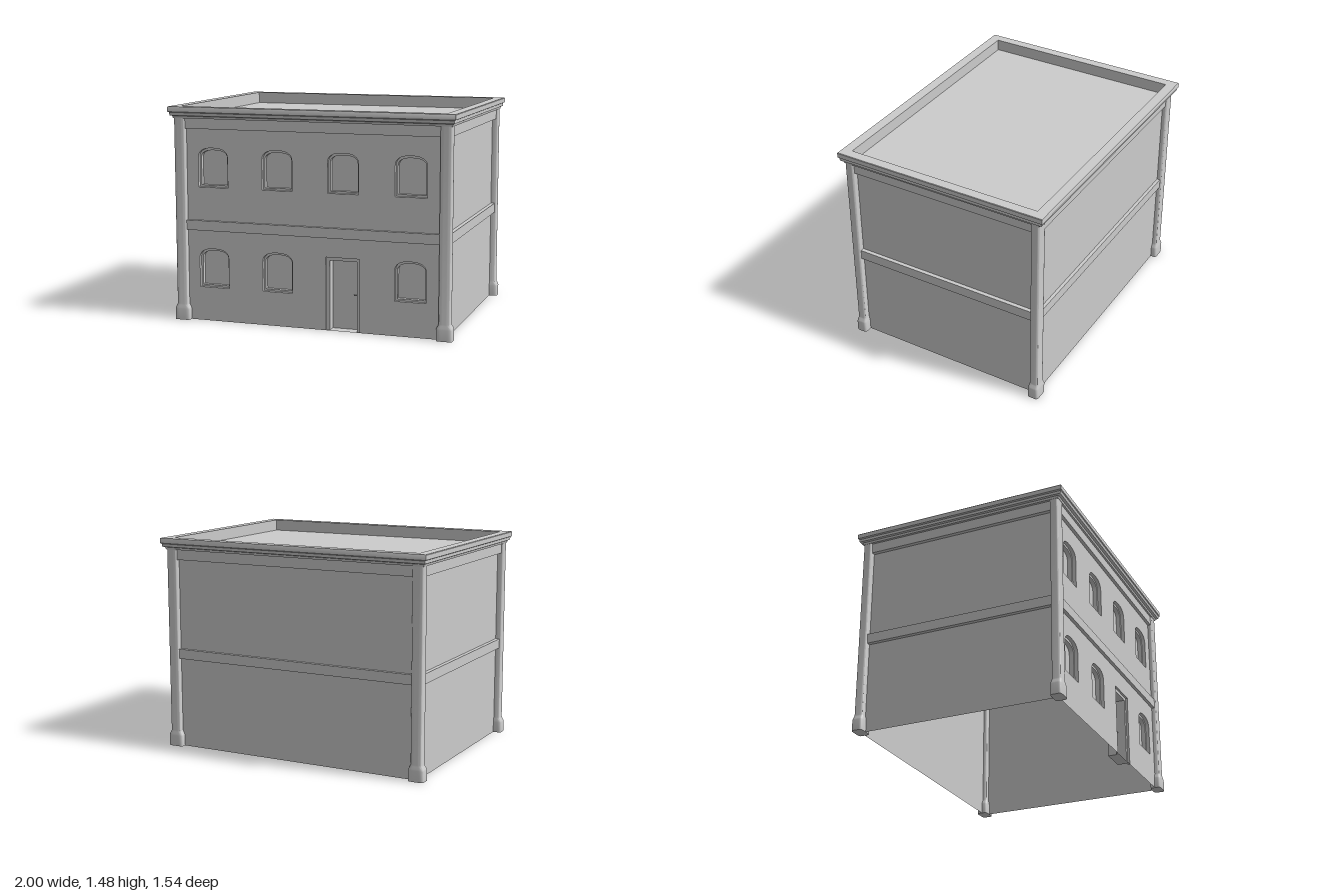
import * as THREE from 'three';
import { toCreasedNormals } from 'three/addons/utils/BufferGeometryUtils.js';

const WX = 0.93, WZ = 0.7, TOP = 1.4; // wall half width, half depth and height

const grey = new THREE.MeshStandardMaterial({ color: 0xcccccc, side: THREE.DoubleSide });

export function createModel() {
  const model = new THREE.Group();

  function add(name, geometry, x = 0, y = 0, z = 0) {
    const mesh = new THREE.Mesh(geometry, grey);
    mesh.name = name;
    mesh.position.set(x, y, z);
    model.add(mesh);
    return mesh;
  }

  // Skin closed rings of [x, y, z] points
  function loft(rings) {
    const n = rings[0].length, pos = [];
    for (let r = 0; r < rings.length - 1; r++) {
      for (let i = 0; i < n; i++) {
        const j = (i + 1) % n;
        const a = rings[r][i], b = rings[r][j], c = rings[r + 1][j], d = rings[r + 1][i];
        pos.push(...a, ...b, ...c, ...a, ...c, ...d);
      }
    }
    const g = new THREE.BufferGeometry();
    g.setAttribute('position', new THREE.Float32BufferAttribute(pos, 3));
    g.computeVertexNormals();
    return toCreasedNormals(g, 0.5);
  }

  // Counter-clockwise opening outlines
  function windowOutline(cx, y0, inset) {
    const w = 0.108 - inset, bottom = y0 + inset, top = y0 + 0.27 - inset * 1.3, spring = y0 + 0.2;
    const pts = [new THREE.Vector2(cx - w, bottom), new THREE.Vector2(cx + w, bottom)];
    for (let i = 0; i <= 16; i++) {
      const a = Math.PI * i / 16, c = Math.cos(a);
      pts.push(new THREE.Vector2(
        cx + w * Math.sign(c) * Math.abs(c) ** 0.8,
        spring + (top - spring) * Math.sin(a) ** 0.8));
    }
    return pts;
  }
  function doorOutline(cx, inset) {
    const w = 0.118 - inset, h = 0.5 - inset;
    return [[-w, 0], [w, 0], [w, h], [-w, h]].map(([x, y]) => new THREE.Vector2(cx + x, y));
  }

  const openings = [];
  for (const y of [0.235, 0.93]) {
    for (const x of [-0.7, -0.235, 0.23, 0.695]) {
      if (y < 0.5 && x === 0.23) continue; // the door stands here
      openings.push({
        name: 'window', step: 0.025, depth: 0.055,
        outer: windowOutline(x, y, 0), inner: windowOutline(x, y, 0.013),
      });
    }
  }
  openings.push({
    name: 'door', step: 0.015, depth: 0.08,
    outer: doorOutline(0.228, 0), inner: doorOutline(0.228, 0.023),
  });

  // Front wall: windows are holes, the doorway is notched out of the bottom edge
  const d = doorOutline(0.228, 0);
  const front = new THREE.Shape([
    new THREE.Vector2(-WX, 0), d[0], d[3], d[2], d[1],
    new THREE.Vector2(WX, 0), new THREE.Vector2(WX, TOP), new THREE.Vector2(-WX, TOP),
  ]);
  for (const o of openings) if (o.name === 'window') front.holes.push(new THREE.Path(o.outer));
  add('frontWall', new THREE.ShapeGeometry(front), 0, 0, WZ);

  // Stepped reveals with a pane or door leaf at the back
  for (const o of openings) {
    const ring = (pts, z) => pts.map((p) => [p.x, p.y, WZ - z]);
    add(o.name + 'Frame', loft([
      ring(o.outer, 0), ring(o.outer, o.step), ring(o.inner, o.step), ring(o.inner, o.depth),
    ]));
    add(o.name + 'Panel', new THREE.ShapeGeometry(new THREE.Shape(o.inner)), 0, 0, WZ - o.depth);
  }
  add('doorHandle', new THREE.BoxGeometry(0.03, 0.008, 0.012), 0.3, 0.237, WZ - 0.074);

  // Plain walls and sunken roof
  add('backWall', new THREE.PlaneGeometry(2 * WX, TOP), 0, TOP / 2, -WZ).rotation.y = Math.PI;
  for (const s of [-1, 1]) {
    add('sideWall', new THREE.PlaneGeometry(2 * WZ, TOP), s * WX, TOP / 2, 0).rotation.y = s * Math.PI / 2;
  }
  add('roof', new THREE.PlaneGeometry(2 * WX, 2 * WZ), 0, TOP, 0).rotation.x = -Math.PI / 2;

  // Raised bands around each storey
  const px = 0.028, pz = 0.023;
  for (const [y, h] of [[0.667, 0.068], [1.365, 0.07]]) {
    for (const s of [-1, 1]) {
      add('wallBand', new THREE.BoxGeometry(2 * WX, h, pz), 0, y, s * (WZ + pz / 2));
      add('sideBand', new THREE.BoxGeometry(px, h, 2 * WZ), s * (WX + px / 2), y, 0);
    }
  }

  // Stepped cornice and parapet: [half width, half depth, height]
  const cornice = [
    [WX, 0.697, 1.4], [WX, 0.697, 1.48], [0.997, 0.766, 1.48], [1, 0.768, 1.476], [1, 0.768, 1.445],
    [0.99, 0.762, 1.44], [0.99, 0.757, 1.42], [0.978, 0.74, 1.415],
    [0.974, 0.736, 1.4], [WX, 0.697, 1.4],
  ];
  add('cornice', loft(cornice.map(([x, z, y]) => [[x, y, z], [x, y, -z], [-x, y, -z], [-x, y, z]])));

  // Corner columns: a lathe squared off into a rounded rectangle
  const profile = [[0, 0], [0.055, 0], [0.055, 0.075], [0.052, 0.086], [0.043, 0.102], [0.04, 0.112], [0.04, TOP]];
  const column = new THREE.LatheGeometry(profile.map(([r, y]) => new THREE.Vector2(r, y)), 40);
  const p = column.attributes.position;
  for (let i = 0; i < p.count; i++) {
    const x = p.getX(i), z = p.getZ(i), r = Math.hypot(x, z);
    if (r < 1e-6) continue;
    const k = (Math.abs(x / r) ** 6 + Math.abs(z / r) ** 6) ** (-1 / 6);
    p.setX(i, x * k);
    p.setZ(i, z * k * (r > 0.05 ? 0.71 : 0.79));
  }
  const columnGeometry = toCreasedNormals(column, 0.7);
  for (const sx of [-1, 1]) {
    for (const sz of [-1, 1]) add('cornerColumn', columnGeometry, sx * 0.932, 0, sz * 0.702);
  }

  return model;
}
